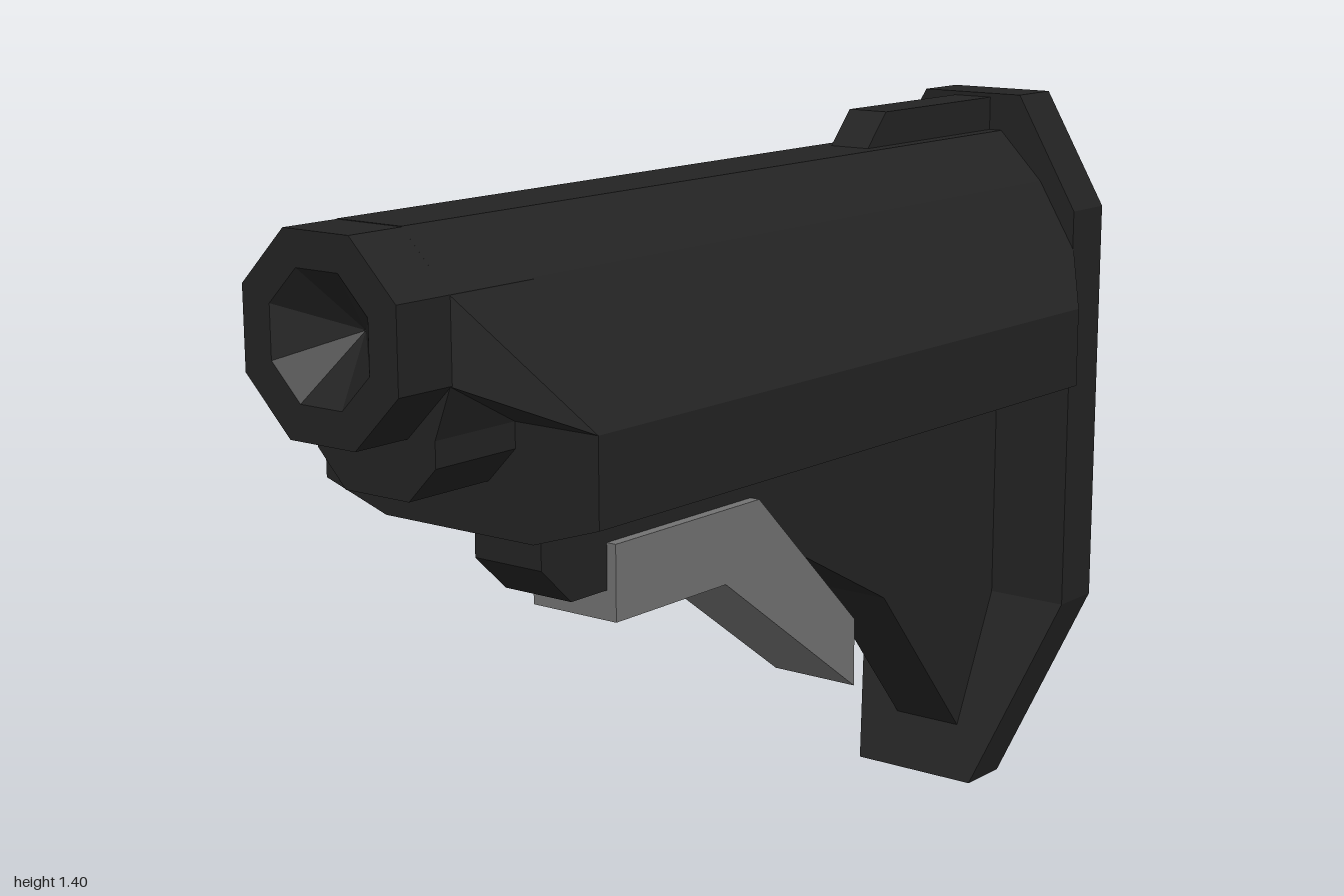
import * as THREE from 'three';

const black = new THREE.MeshStandardMaterial({ color: 0x232323, flatShading: true });
black.name = 'matte black';
const grey = new THREE.MeshStandardMaterial({ color: 0x727272, flatShading: true });
grey.name = 'lever grey';

// Full counter-clockwise ring from the right half of a symmetric outline, listed top to bottom.
function ring(half, z) {
  const pts = half.map(([x, y, pz = z]) => [x, y, pz]);
  return [...pts.slice().reverse(), ...pts.map(([x, y, pz]) => [-x, y, pz])];
}

// Skin over rings listed front to back, closed with strip caps at both ends.
function loft(rings) {
  const pos = [];
  const tri = (a, b, c) => pos.push(...a, ...b, ...c);
  const n = rings[0].length;
  for (let r = 0; r < rings.length - 1; r++) {
    const a = rings[r], b = rings[r + 1];
    for (let i = 0; i < n; i++) {
      const j = (i + 1) % n;
      if (a[i][0] + a[j][0] > 0.001) { // mirrored diagonals
        tri(a[i], b[i], a[j]);
        tri(a[j], b[i], b[j]);
      } else {
        tri(a[i], b[i], b[j]);
        tri(a[i], b[j], a[j]);
      }
    }
  }
  const h = n / 2, first = rings[0], last = rings[rings.length - 1];
  for (let k = 0; k < h - 1; k++) {
    const L = h + k, R = h - 1 - k;
    tri(first[L], first[L + 1], first[R - 1]);
    tri(first[L], first[R - 1], first[R]);
    tri(last[L], last[R - 1], last[L + 1]);
    tri(last[L], last[R], last[R - 1]);
  }
  const g = new THREE.BufferGeometry();
  g.setAttribute('position', new THREE.Float32BufferAttribute(pos, 3));
  g.computeVertexNormals();
  return g;
}

// Side profile of [z, y] points extruded across the width.
function plate(points, width) {
  const shape = new THREE.Shape(points.map(([z, y]) => new THREE.Vector2(z, y)));
  const g = new THREE.ExtrudeGeometry(shape, { depth: width, bevelEnabled: false });
  return g.rotateY(-Math.PI / 2).translate(width / 2, 0, 0);
}

// Right half of an octagon around the tube axis, r = distance to a flat.
function octagon(r) {
  const f = r * 0.425, cy = 1.162;
  return [[f, cy + r], [r, cy + f], [r, cy - f], [f, cy - r]];
}

export function createModel() {
  const group = new THREE.Group();
  const add = (name, geometry, material = black) => {
    const mesh = new THREE.Mesh(geometry, material);
    mesh.name = name;
    group.add(mesh);
  };

  // Octagonal tube with a conical bore in its front end
  add('bufferTube', loft([
    ring(octagon(0.002), 0.9), ring(octagon(0.107), 1),
    ring(octagon(0.167), 1), ring(octagon(0.167), 0.69),
  ]));

  // Main body, pinched in where it meets the butt pad
  const body = [[0.07, 1.33], [0.165, 1.235], [0.305, 1.0], [0.305, 0.845], [0.165, 0.8]];
  const bodyEnd = [[0.07, 1.33], [0.165, 1.235], [0.245, 1.105], [0.245, 0.825], [0.165, 0.8]];
  add('body', loft([ring(body, 0.7), ring(body, -0.77), ring(bodyEnd, -0.845)]));

  // Tapered shoulder between tube and body
  add('shoulder', loft([
    ring([[0.07, 1.33], [0.165, 1.235], [0.165, 1.09], [0.13, 1.0]], 0.885),
    ring([[0.07, 1.33], [0.165, 1.235], [0.305, 1.0], [0.13, 1.0]], 0.7),
  ]));

  // Rounded housing under the tube
  const lug = [[0.1, 1.08], [0.13, 1.05], [0.13, 0.955], [0.07, 0.893]];
  add('lowerHousing', loft([ring(lug, 0.885), ring(lug, 0.69)]));

  // Rib on top, running into the butt pad
  add('topRib', plate([[-0.405, 1.32], [-0.87, 1.32], [-0.87, 1.395], [-0.47, 1.395], [-0.41, 1.33]].reverse(), 0.085));

  // Web under the body
  add('web', plate([
    [0.58, 0.82], [0.58, 0.715], [0.505, 0.645], [-0.05, 0.645],
    [-0.44, 0.44], [-0.72, 0.1], [-0.86, 0.38], [-0.86, 0.82],
  ], 0.15));

  // Adjustment lever
  add('releaseLever', plate([
    [0.41, 0.73], [0.41, 0.59], [0.1, 0.59], [-0.31, 0.295], [-0.31, 0.43], [0, 0.73],
  ], 0.19), grey);

  // Butt pad with a chamfered back and a forward-swept toe
  const pad = (z, toeZ) => ring([[0.112, 1.403], [0.245, 1.18], [0.245, 0.365], [0.137, 0, toeZ]], z);
  add('buttPad', loft([
    pad(-0.842, -0.67), pad(-0.953, -0.78),
    ring([[0.085, 1.355], [0.195, 1.165], [0.195, 0.365], [0.1, 0.05, -0.85]], -1),
  ]));

  return group;
}
